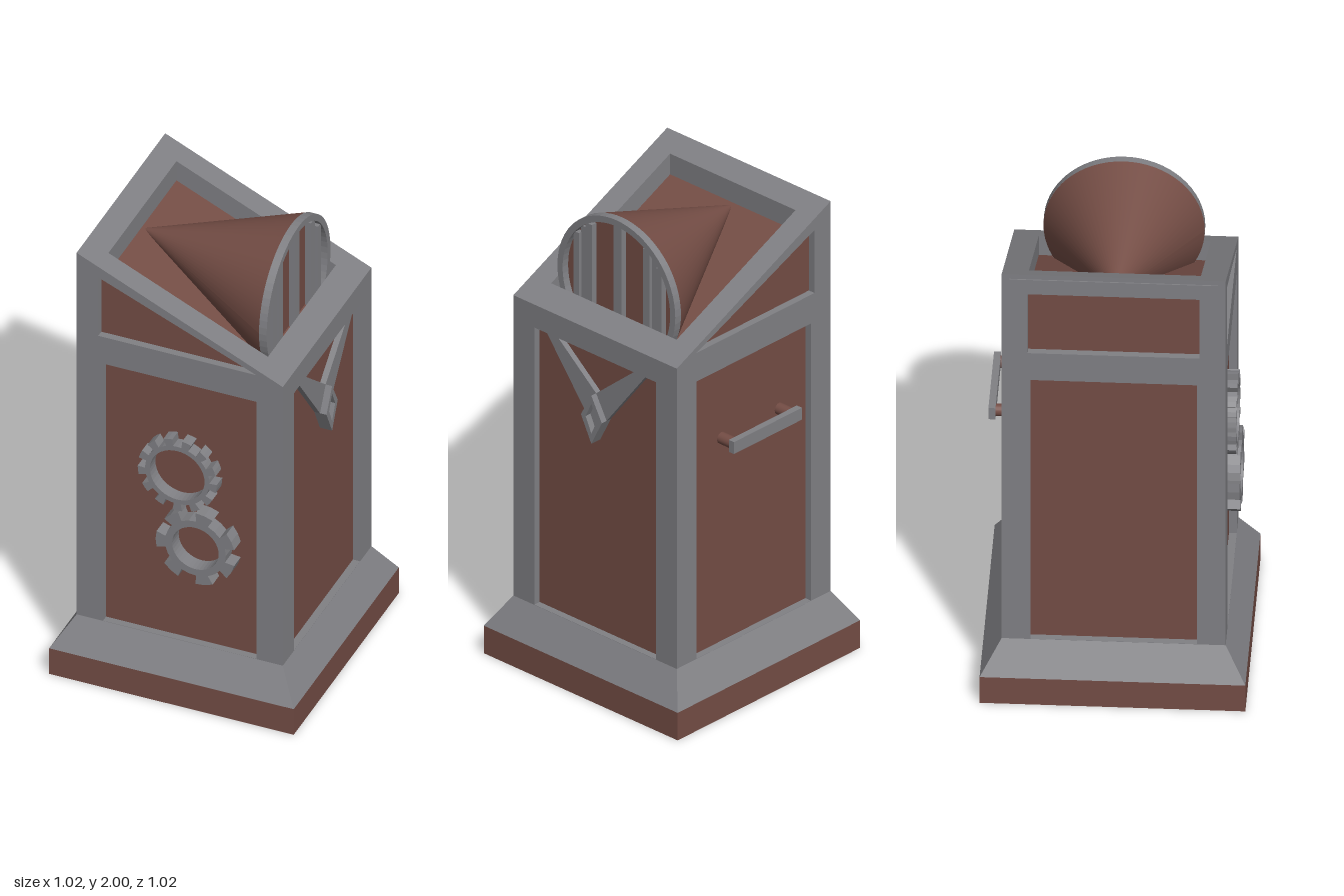
import * as THREE from 'three';

const gray = new THREE.MeshStandardMaterial({ color: 0x808084 });
gray.name = 'gray metal';
const brown = new THREE.MeshStandardMaterial({ color: 0x744d45 });
brown.name = 'brown panel';

const W = 0.43; // half width of the body
const topY = (x) => 1.755 - 0.4535 * x; // slanted top edge

const poly = (pts, Type = THREE.Shape) => new Type(pts.map((p) => new THREE.Vector2(...p)));
const rect = (x0, y0, x1, y1) => [[x0, y0], [x1, y0], [x1, y1], [x0, y1]];

function slab(outline, holes, depth, offset) {
  const shape = poly(outline);
  for (const h of holes) shape.holes.push(poly(h, THREE.Path));
  const g = new THREE.ExtrudeGeometry(shape, { depth, bevelEnabled: false });
  return g.translate(0, 0, offset);
}

// Horizontal slab tilted so its top lies `drop` below the slanted top
function tiltedSlab(outline, holes, depth, drop) {
  const g = slab(outline, holes, depth, 0).rotateX(-Math.PI / 2);
  const p = g.attributes.position;
  for (let i = 0; i < p.count; i++) p.setY(i, p.getY(i) - depth - drop + topY(p.getX(i)));
  g.computeVertexNormals();
  return g;
}

function gearGeometry(outer, body, hole, teeth, phase, depth) {
  const pts = [];
  const step = (Math.PI * 2) / teeth;
  for (let i = 0; i < teeth; i++) {
    const a = phase + i * step;
    const corners = [[body, -0.5], [body, -0.22], [outer, -0.25], [outer, 0], [outer, 0.25], [body, 0.22]];
    for (const [r, t] of corners) pts.push([r * Math.cos(a + t * step), r * Math.sin(a + t * step)]);
  }
  const shape = poly(pts);
  shape.holes.push(new THREE.Path().absarc(0, 0, hole, 0, Math.PI * 2, true));
  return new THREE.ExtrudeGeometry(shape, { depth, bevelEnabled: false, curveSegments: 20 });
}

export function createModel() {
  const model = new THREE.Group();
  const add = (name, geometry, material, x = 0, y = 0, z = 0) => {
    const m = new THREE.Mesh(geometry, material);
    m.name = name;
    m.position.set(x, y, z);
    model.add(m);
    return m;
  };

  // Plinth and its sloping skirt
  add('plinth', new THREE.BoxGeometry(1.02, 0.12, 1.02), brown, 0, 0.06, 0);
  const skirt = new THREE.CylinderGeometry(W * Math.SQRT2, 0.51 * Math.SQRT2, 0.13, 4, 1).rotateY(Math.PI / 4).toNonIndexed();
  skirt.computeVertexNormals();
  add('skirt', skirt, gray, 0, 0.185, 0);

  // Wall frames with openings, each over a recessed panel
  const lower = rect(-0.32, 0.251, 0.32, 1.46);
  const slopeWall = (w, d) => [[-w, 0.24], [w, 0.24], [w, topY(w) - d], [-w, topY(-w) - d]];
  const squareWall = (w, h) => rect(-w, 0.24, w, h);
  const triangle = [[-0.34, 1.585], [0.32, 1.585], [-0.34, 1.86]];
  const upper = rect(-0.33, 1.585, 0.33, 1.86);
  for (const [name, s] of [['front', 1], ['back', -1]]) {
    const z = s > 0 ? 0.4 : -W;
    add(name + 'Frame', slab(slopeWall(W, 0.01), [lower, triangle], 0.03, z), gray);
    add(name + 'Panel', slab(slopeWall(0.4, 0.015), [], 0.01, s > 0 ? 0.39 : -0.4), brown);
  }
  for (const [name, s, h, holes] of [['right', 1, topY(W) - 0.01, [lower]], ['left', -1, topY(-0.4) - 0.01, [lower, upper]]]) {
    const turn = (s * Math.PI) / 2;
    add(name + 'SideFrame', slab(squareWall(W, h), holes, 0.03, 0.4).rotateY(turn), gray);
    add(name + 'SidePanel', slab(squareWall(0.4, h - 0.02), [], 0.01, 0.39).rotateY(turn), brown);
  }

  // Slanted rim, its inner lip and the sunken floor
  const opening = rect(-0.34, -0.33, 0.325, 0.33);
  add('topRim', tiltedSlab(rect(-W, -W, W, W), [opening], 0.02, 0), gray);
  add('rimLip', tiltedSlab(rect(-0.388, -0.388, 0.388, 0.388), [opening], 0.09, 0.01), gray);
  add('sunkenFloor', tiltedSlab(rect(-0.385, -0.385, 0.385, 0.385), [], 0.01, 0.09), brown);

  // Horn: a cone whose axis dips towards its upright mouth
  const R = 0.31, mouthY = 1.69;
  const horn = new THREE.ConeGeometry(R, 0.62, 64, 1).rotateZ(Math.PI / 2).translate(-0.03, 0, 0);
  const hp = horn.attributes.position;
  for (let i = 0; i < hp.count; i++) hp.setY(i, hp.getY(i) + mouthY + 0.12 * (0.28 - hp.getX(i)) / 0.62);
  horn.computeVertexNormals();
  add('horn', horn, brown);

  // Mouth ring and grille bars
  const ring = new THREE.Shape().absarc(0, 0, R, 0, Math.PI * 2);
  ring.holes.push(new THREE.Path().absarc(0, 0, 0.283, 0, Math.PI * 2, true));
  const ringGeo = new THREE.ExtrudeGeometry(ring, { depth: 0.032, bevelEnabled: false, curveSegments: 32 });
  add('mouthRing', ringGeo.rotateY(Math.PI / 2), gray, 0.279, mouthY, 0);
  for (const [z, w, d] of [[0, 0.042, 0.026], [0.152, 0.034, 0.026], [0.186, 0.04, 0.012], [0.217, 0.028, 0.026]]) {
    for (const s of z ? [1, -1] : [1]) {
      const h = 2 * Math.sqrt(0.29 ** 2 - (z + w / 2) ** 2);
      add('grilleBar', new THREE.BoxGeometry(d, h, w), gray, 0.279 + d / 2, mouthY, s * z);
    }
  }

  // Two meshing gears on the front
  const g1 = gearGeometry(0.165, 0.134, 0.114, 13, Math.PI / 2 + Math.PI / 13, 0.056);
  add('upperGear', g1, gray, 0, 1.04, 0.398);
  const g2 = gearGeometry(0.166, 0.127, 0.097, 7, Math.PI, 0.066);
  add('lowerGear', g2, gray, 0.08, 0.725, 0.398);

  // V-shaped ornament with a raised kite on the right side
  const vee = [[0, 1.08], [0.055, 1.19], [0.263, 1.462], [0.205, 1.462], [0, 1.29],
    [-0.205, 1.462], [-0.263, 1.462], [-0.055, 1.19]];
  const kite = [[0, 1.08], [0.055, 1.19], [0, 1.29], [-0.055, 1.19]];
  const diamond = [[0, 1.125], [0.03, 1.19], [0, 1.255], [-0.03, 1.19]];
  add('veeArms', slab(vee, [], 0.025, 0.399).rotateY(Math.PI / 2), gray);
  add('kite', slab(kite, [diamond], 0.029, 0.422).rotateY(Math.PI / 2), gray);

  // Back handle on two round posts
  add('handleBar', new THREE.BoxGeometry(0.38, 0.052, 0.027), gray, -0.012, 1.137, -0.48);
  for (const x of [-0.173, 0.149]) {
    const post = new THREE.CylinderGeometry(0.024, 0.024, 0.075, 20).rotateX(Math.PI / 2);
    add('handlePost', post, brown, x, 1.137, -0.432);
  }
  return model;
}
